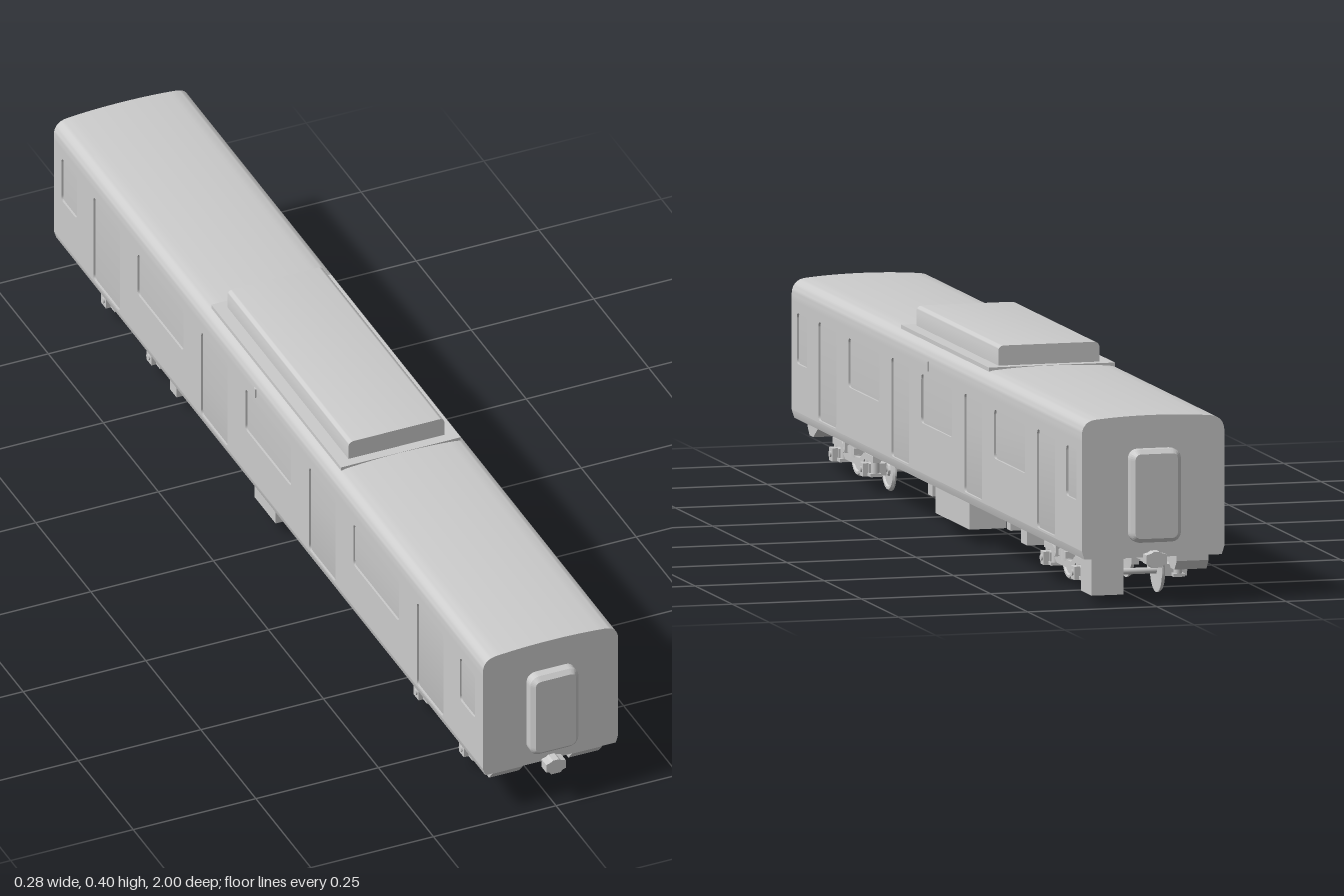
import * as THREE from 'three';
import { toCreasedNormals } from 'three/addons/utils/BufferGeometryUtils.js';

const grey = new THREE.MeshStandardMaterial({ color: 0xcccccc });

export function createModel() {
  const root = new THREE.Group();

  const add = (name, geo, parent = root) => {
    const mesh = new THREE.Mesh(geo, grey);
    mesh.name = name;
    parent.add(mesh);
    return mesh;
  };
  // box given by its min and max on each axis
  const box = (name, x0, x1, y0, y1, z0, z1, parent = root) =>
    add(name, new THREE.BoxGeometry(x1 - x0, y1 - y0, z1 - z0)
      .translate((x0 + x1) / 2, (y0 + y1) / 2, (z0 + z1) / 2), parent);
  // cylinder lying along x
  const rod = (name, r, x0, x1, y, z, parent, sides = 20) =>
    add(name, new THREE.CylinderGeometry(r, r, x1 - x0, sides)
      .rotateZ(Math.PI / 2).translate((x0 + x1) / 2, y, z), parent);
  const roundRect = (path, x0, x1, y0, y1, r) => {
    path.moveTo(x0 + r, y0);
    path.lineTo(x1 - r, y0).quadraticCurveTo(x1, y0, x1, y0 + r);
    path.lineTo(x1, y1 - r).quadraticCurveTo(x1, y1, x1 - r, y1);
    path.lineTo(x0 + r, y1).quadraticCurveTo(x0, y1, x0, y1 - r);
    path.lineTo(x0, y0 + r).quadraticCurveTo(x0, y0, x0 + r, y0);
    return path;
  };
  const extrude = (shape, depth, extra = {}) => new THREE.ExtrudeGeometry(shape,
    { depth, bevelEnabled: false, curveSegments: 8, ...extra });
  // shape drawn as (-z, y), extruded from x0 to x1
  const sideways = (shape, x0, x1) =>
    extrude(shape, x1 - x0).rotateY(Math.PI / 2).translate(x0, 0, 0);

  // Body shell with curved roof; the sides are set in for the outer skin
  const half = 0.975, wall = 0.138, inner = 0.134, skinLow = 0.106, skinHigh = 0.312;
  const profile = new THREE.Shape();
  profile.moveTo(-0.133, 0.09);
  profile.lineTo(0.133, 0.09).lineTo(wall, skinLow).lineTo(inner, skinLow);
  profile.lineTo(inner, skinHigh).lineTo(wall, skinHigh).lineTo(wall, 0.322);
  profile.bezierCurveTo(wall, 0.338, 0.130, 0.350, 0.112, 0.352);
  profile.quadraticCurveTo(0.06, 0.357, 0, 0.357);
  profile.quadraticCurveTo(-0.06, 0.357, -0.112, 0.352);
  profile.bezierCurveTo(-0.130, 0.350, -wall, 0.338, -wall, 0.322);
  profile.lineTo(-wall, skinHigh).lineTo(-inner, skinHigh);
  profile.lineTo(-inner, skinLow).lineTo(-wall, skinLow);
  add('bodyShell', toCreasedNormals(extrude(profile, 2 * half).translate(0, 0, -half), 0.6));

  // Side skins pierced by doors and windows, leaving shallow recesses
  const skin = roundRect(new THREE.Shape(), -half, half, skinLow, skinHigh, 0);
  const opening = (centre, width, low, high) => skin.holes.push(
    roundRect(new THREE.Path(), centre - width / 2, centre + width / 2, low, high, 0.01));
  for (const z of [-0.735, -0.245, 0.245, 0.735]) opening(z, 0.12, 0.11, 0.295);
  for (const z of [-0.49, 0, 0.49]) opening(z, 0.208, 0.2, 0.292);
  for (const z of [-0.905, 0.905]) opening(z, 0.07, 0.197, 0.292);
  add('leftSideSkin', sideways(skin, inner, wall));
  add('rightSideSkin', sideways(skin, -wall, -inner));

  // Side indicator lamps
  box('leftIndicatorLamp', 0.136, 0.141, 0.303, 0.322, 0.053, 0.061);
  box('rightIndicatorLamp', -0.141, -0.136, 0.303, 0.322, -0.061, -0.053);

  // Roof plate and air conditioning unit
  box('roofPlate', -0.122, 0.122, 0.350, 0.3575, -0.295, 0.295);
  const unit = new THREE.Shape();
  unit.moveTo(-0.098, 0.352);
  unit.lineTo(0.098, 0.352).lineTo(0.098, 0.383).quadraticCurveTo(0.098, 0.395, 0.086, 0.395);
  unit.lineTo(-0.086, 0.395).quadraticCurveTo(-0.098, 0.395, -0.098, 0.383);
  add('roofUnit', toCreasedNormals(extrude(unit, 0.55).translate(0, 0, -0.275), 0.6));

  // Gangways and couplers at both ends
  for (const [end, turn] of [['front', 0], ['back', Math.PI]]) {
    const group = new THREE.Group();
    group.name = end + 'End';
    group.rotation.y = turn;
    root.add(group);
    const frame = roundRect(new THREE.Shape(), -0.041, 0.041, 0.128, 0.287, 0.012);
    add('gangway', extrude(frame, 0.022, {
      bevelEnabled: true, bevelThickness: 0.008, bevelSize: 0.008, bevelSegments: 1,
    }).translate(0, 0, 0.97), group);
    const head = new THREE.Shape([[-0.01, 0.073], [0.01, 0.073], [0.013, 0.078], [0.02, 0.08],
      [0.02, 0.097], [0.01, 0.1], [0.006, 0.103], [-0.006, 0.103], [-0.01, 0.1],
      [-0.02, 0.097], [-0.02, 0.08], [-0.013, 0.078]].map(p => new THREE.Vector2(...p)));
    add('couplerHead', extrude(head, 0.022).translate(0, 0, 0.978), group);
    box('couplerBar', -0.009, 0.009, 0.078, 0.094, 0.88, 0.98, group);
    // Wedge-shaped guards under the end, one replaced by a box at the back
    const wedge = new THREE.Shape([[-0.96, 0.092], [-0.96, 0.078], [-0.945, 0.06], [-0.92, 0.06],
      [-0.88, 0.085], [-0.88, 0.092]].map(p => new THREE.Vector2(...p)));
    add('endGuard', sideways(wedge, 0.05, 0.112), group);
    if (end === 'front') add('endGuard', sideways(wedge, -0.112, -0.05), group);
    else box('endEquipmentBox', -0.112, -0.05, 0.018, 0.092, 0.88, 0.95, group);
  }

  // Underfloor equipment: x range, bottom, z range
  const equipment = [
    ['mainEquipmentBox', 0.04, 0.112, 0.03, -0.13, 0.1],
    ['frontSmallBox', 0.06, 0.1, 0.052, 0.16, 0.19],
    ['rearSmallBox', 0.07, 0.105, 0.062, -0.382, -0.358],
    ['rearMediumBox', 0.07, 0.11, 0.052, -0.51, -0.468],
    ['rightThinBox', -0.112, -0.09, 0.034, -0.505, -0.475],
    ['rightEquipmentBox', -0.112, -0.05, 0.03, -0.12, -0.025],
  ];
  for (const [name, x0, x1, y0, z0, z1] of equipment) box(name, x0, x1, y0, 0.092, z0, z1);

  // Bogies
  const sideFrame = new THREE.Shape([[-0.135, 0.058], [-0.135, 0.07], [-0.075, 0.07], [-0.045, 0.055],
    [0.045, 0.055], [0.075, 0.07], [0.135, 0.07], [0.135, 0.058], [0.08, 0.058], [0.05, 0.04],
    [-0.05, 0.04], [-0.08, 0.058]].reverse().map(p => new THREE.Vector2(...p)));
  const wheelProfile = [[0, -0.003], [0.022, -0.002], [0.033, -0.003], [0.041, -0.003], [0.041, 0],
    [0.038, 0.004], [0.033, 0.004], [0.03, 0.001], [0.013, 0.001], [0.011, 0.005], [0, 0.005]]
    .map(p => new THREE.Vector2(...p));
  for (const [name, z] of [['frontBogie', 0.71], ['backBogie', -0.71]]) {
    const bogie = new THREE.Group();
    bogie.name = name;
    bogie.position.z = z;
    root.add(bogie);
    box('bolster', -0.1, 0.1, 0.058, 0.07, -0.022, 0.022, bogie);
    add('centrePivot', new THREE.CylinderGeometry(0.018, 0.018, 0.03, 20)
      .translate(0, 0.078, 0), bogie);
    for (const w of [-0.103, 0.103]) rod('axle', 0.006, -0.1, 0.1, 0.041, w, bogie);

    for (const s of [1, -1]) {
      const side = new THREE.Group();
      side.name = s > 0 ? 'leftBogieSide' : 'rightBogieSide';
      side.rotation.y = s > 0 ? 0 : Math.PI;
      bogie.add(side);
      add('sideFrame', sideways(sideFrame, 0.08, 0.096), side);
      add('airSpring', new THREE.CylinderGeometry(0.018, 0.018, 0.04, 20)
        .translate(0.085, 0.072, 0), side);
      rod('damper', 0.005, 0.096, 0.106, 0.06, 0.03, side, 12);
      box('damperArm', 0.097, 0.105, 0.056, 0.088, 0.022, 0.034, side);
      for (const w of [-0.103, 0.103]) {
        add('wheel', toCreasedNormals(new THREE.LatheGeometry(wheelProfile, 32)
          .rotateZ(-Math.PI / 2).translate(0.055, 0.041, w), 0.6), side);
        box('axleBox', 0.064, 0.098, 0.031, 0.054, w - 0.014, w + 0.014, side);
        box('axleBoxCover', 0.098, 0.109, 0.03, 0.055, w - 0.011, w + 0.011, side);
        rod('axleCap', 0.006, 0.109, 0.112, 0.043, w, side, 16);
        // Primary springs either side of the axle box
        for (const d of [-0.021, 0.021]) add('primarySpring',
          new THREE.CylinderGeometry(0.008, 0.008, 0.03, 14).translate(0.088, 0.05, w + d), side);
        box('springSeat', 0.078, 0.1, 0.031, 0.037, w - 0.03, w + 0.03, side);
        // Brake block on the inner side of the wheel
        const b = w - Math.sign(w) * 0.046;
        box('brakeBlock', 0.05, 0.064, 0.03, 0.058, b - 0.005, b + 0.005, side);
      }
    }
  }
  return root;
}
